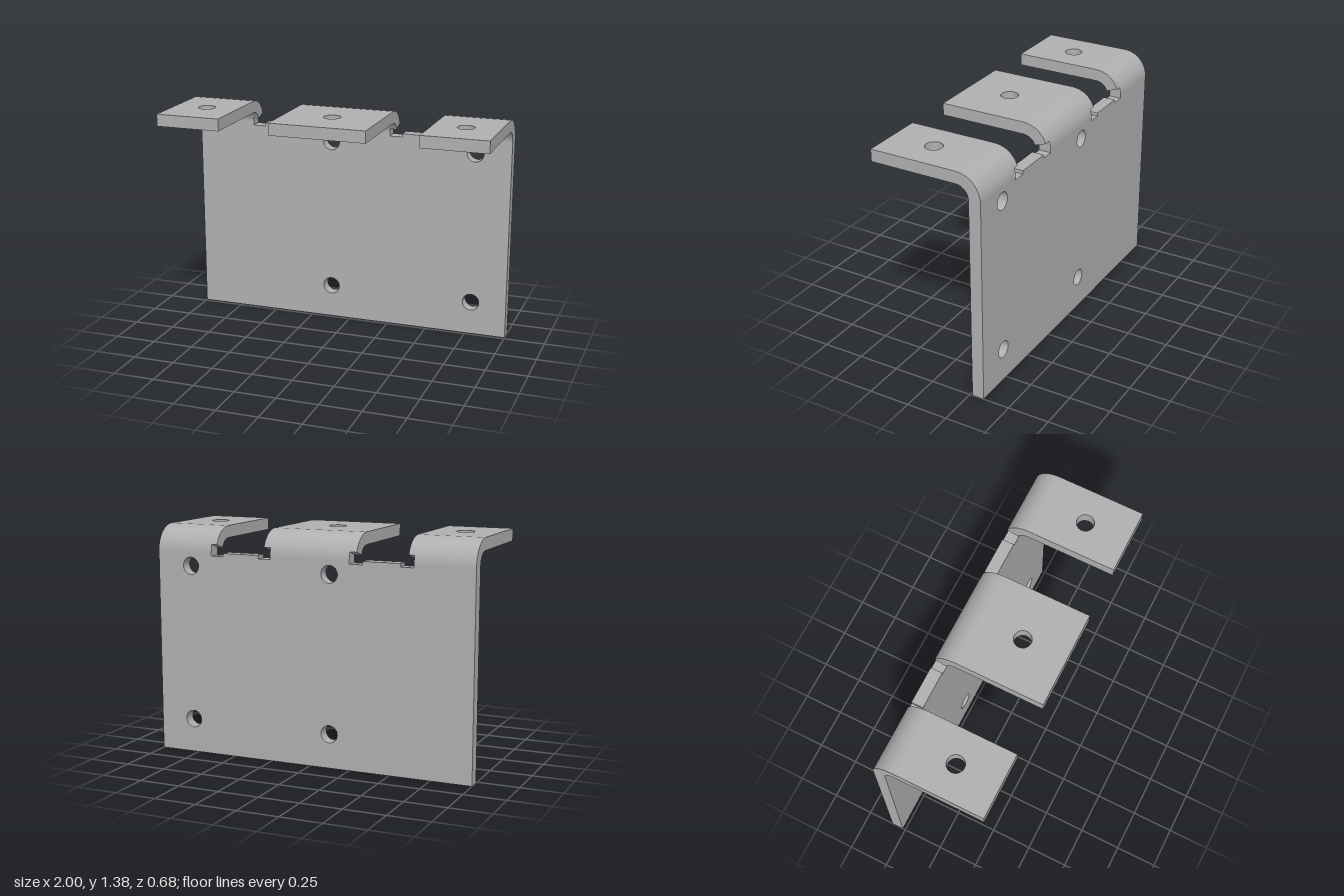
import * as THREE from 'three';
import { toCreasedNormals } from 'three/addons/utils/BufferGeometryUtils.js';

const T = 0.073;                       // sheet thickness
const TOP = 1.38, BACK = -0.34, FRONT = 0.34;
const R = 0.15;                        // outer bend radius
const CZ = BACK + R, CY = TOP - R;     // bend axis
const HOLE = 0.052;
const RELIEF = 0.33;                   // bend angle reached by the relief notches

const steel = new THREE.MeshStandardMaterial({ color: 0xb0b0b0 });
steel.name = 'grey steel';

// Flat sheet with round holes, extruded by the sheet thickness
function sheet(points, holes) {
  const shape = new THREE.Shape(points.map(([x, y]) => new THREE.Vector2(x, y)));
  for (const [x, y] of holes) {
    shape.holes.push(new THREE.Path().absarc(x, y, HOLE, 0, Math.PI * 2, true));
  }
  const geo = new THREE.ExtrudeGeometry(shape, { depth: T, bevelEnabled: false, curveSegments: 16 });
  return toCreasedNormals(geo, 0.6);
}

// Part of the 90 degree bend, between two angles measured up from the wall
function bend(x0, x1, a0, a1, steps) {
  const pts = [];
  const add = (r, a) => pts.push(new THREE.Vector2(CZ - r * Math.cos(a), CY + r * Math.sin(a)));
  for (let i = 0; i <= steps; i++) add(R, a0 + (a1 - a0) * i / steps);
  for (let i = steps; i >= 0; i--) add(R - T, a0 + (a1 - a0) * i / steps);
  const geo = new THREE.ExtrudeGeometry(new THREE.Shape(pts), { depth: x1 - x0, bevelEnabled: false });
  geo.rotateY(-Math.PI / 2).translate(x1, 0, 0);

  // Exact radial normals on the curved faces
  const p = geo.attributes.position, n = geo.attributes.normal;
  for (let i = 0; i < p.count; i++) {
    const radial = new THREE.Vector3(0, p.getY(i) - CY, p.getZ(i) - CZ).normalize();
    const dot = radial.dot(new THREE.Vector3().fromBufferAttribute(n, i));
    if (Math.abs(dot) > 0.9) {
      radial.multiplyScalar(Math.sign(dot));
      n.setXYZ(i, radial.x, radial.y, radial.z);
    }
  }
  return geo;
}

export function createModel() {
  const model = new THREE.Group();
  model.name = 'mountingBracket';
  const add = (parent, name, geo) => {
    const mesh = new THREE.Mesh(geo, steel);
    mesh.name = name;
    parent.add(mesh);
  };

  // Upright wall, with relief notches along its top edge
  const notch = 1.21;
  const half = [
    [1, 0], [1, CY], [0.64, CY], [0.64, notch], [0.56, notch], [0.56, CY],
    [0.33, CY], [0.33, notch], [0.25, notch], [0.25, CY],
  ];
  const outline = [...half, ...half.map(([x, y]) => [-x, y]).reverse()];
  const wallHoles = [[-0.125, 0.205], [0.78, 0.205], [-0.125, 1.145], [0.78, 1.145]];
  add(model, 'wall', sheet(outline, wallHoles).translate(0, 0, BACK));

  // Flanges: [name, left edge, right edge, neck left, neck right, hole x]
  const flanges = [
    ['rightFlange', -1, -0.605, -1, -0.64, -0.8],
    ['middleFlange', -0.293, 0.293, -0.25, 0.25, 0],
    ['leftFlange', 0.605, 1, 0.64, 1, 0.8],
  ];
  for (const [name, x0, x1, n0, n1, hx] of flanges) {
    const group = new THREE.Group();
    group.name = name;
    add(group, 'bendNeck', bend(n0, n1, 0, RELIEF, 2));
    add(group, 'bend', bend(x0, x1, RELIEF, Math.PI / 2, 5));
    const plate = sheet([[x0, CZ], [x1, CZ], [x1, FRONT], [x0, FRONT]], [[hx, 0.07]]);
    add(group, 'plate', plate.rotateX(Math.PI / 2).translate(0, TOP, 0));
    model.add(group);
  }
  return model;
}
